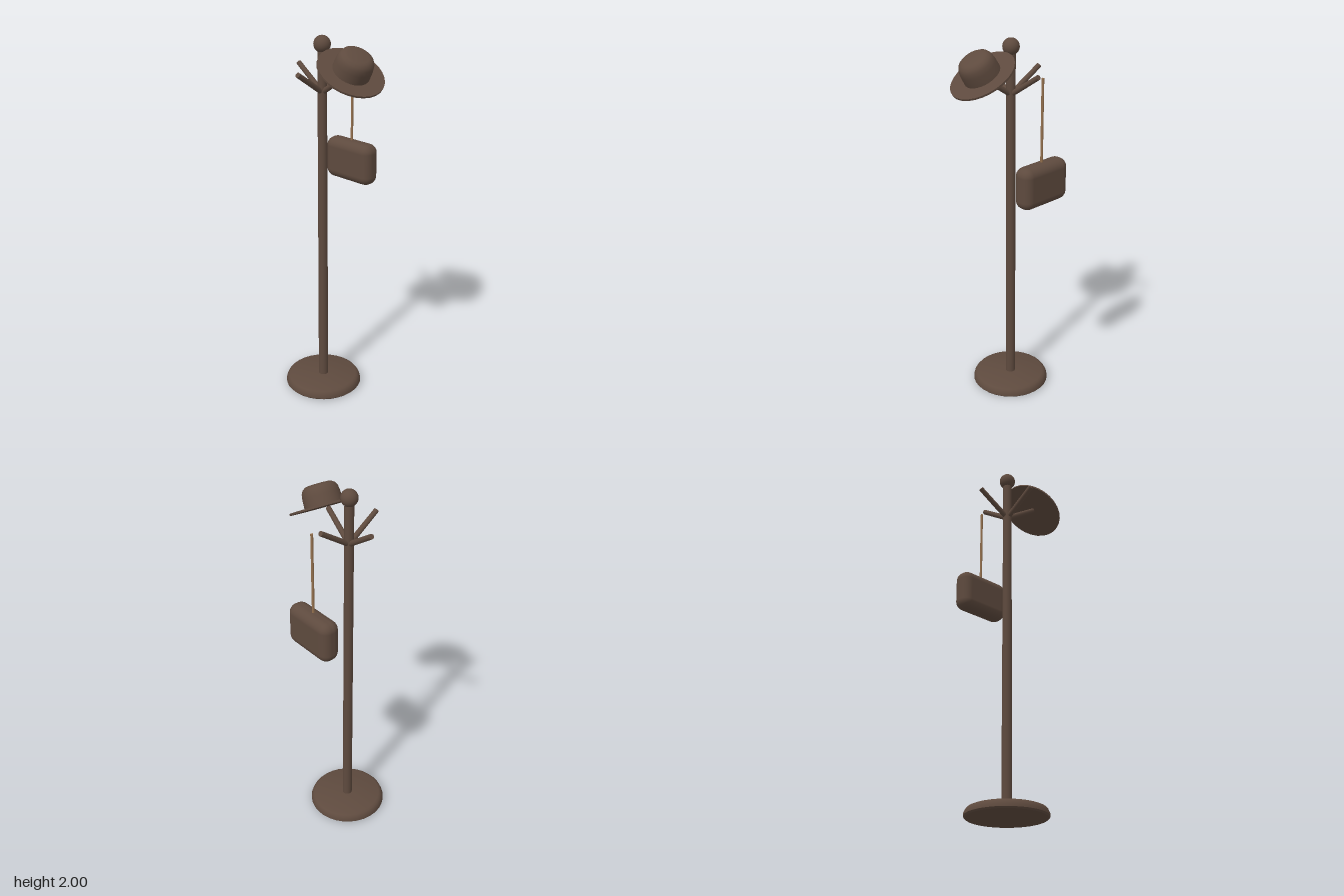
import * as THREE from 'three';
import { RoundedBoxGeometry } from 'three/addons/geometries/RoundedBoxGeometry.js';
import { toCreasedNormals } from 'three/addons/utils/BufferGeometryUtils.js';

const POLE_X = -0.045, POLE_Z = -0.027;
const UP = new THREE.Vector3(0, 1, 0);

export function createModel() {
  const root = new THREE.Group();
  root.name = 'coatStand';
  const brown = new THREE.MeshStandardMaterial({ color: 0x5e4a3e });
  brown.name = 'darkBrown';
  const tan = new THREE.MeshStandardMaterial({ color: 0x96724f });
  tan.name = 'tanStrap';

  function add(parent, name, geometry, material, x = 0, y = 0, z = 0) {
    const mesh = new THREE.Mesh(geometry, material);
    mesh.name = name;
    mesh.position.set(x, y, z);
    parent.add(mesh);
    return mesh;
  }
  // profile points run from the bottom centre to the top centre
  const lathe = (points, sides) => toCreasedNormals(
    new THREE.LatheGeometry(points.map(([r, y]) => new THREE.Vector2(r, y)), sides), 0.7);

  // stand: base, pole and finial
  const stand = new THREE.Group();
  stand.name = 'stand';
  stand.position.set(POLE_X, 0, POLE_Z);
  root.add(stand);
  add(stand, 'base', lathe([[0, 0], [0.205, 0], [0.213, 0.008], [0.212, 0.02],
    [0.206, 0.035], [0.198, 0.045], [0.186, 0.05], [0, 0.05]], 32), brown);
  add(stand, 'pole', new THREE.CylinderGeometry(0.024, 0.027, 1.91, 20), brown, 0, 0.985, 0);
  add(stand, 'finial', new THREE.SphereGeometry(0.044, 24, 16), brown, 0, 1.956, 0);

  // four sloping hooks
  for (const [x, z] of [[0.145, -0.112], [-0.145, 0.112], [-0.09, -0.161], [0.09, 0.161]]) {
    const start = new THREE.Vector3(0, 1.71, 0);
    const end = new THREE.Vector3(x, 1.832, z);
    const along = end.clone().sub(start);
    const hook = add(stand, 'hook', new THREE.CylinderGeometry(0.0135, 0.0145, along.length(), 12), brown);
    hook.position.copy(start).add(end).multiplyScalar(0.5);
    hook.quaternion.setFromUnitVectors(UP, along.normalize());
  }

  // tilted hat
  const hat = new THREE.Group();
  hat.name = 'hat';
  hat.position.set(0.065, 1.843, 0.132);
  hat.quaternion.setFromUnitVectors(UP, new THREE.Vector3(0.226, 0.86, 0.457).normalize());
  root.add(hat);
  add(hat, 'brim', toCreasedNormals(new THREE.CylinderGeometry(0.176, 0.176, 0.01, 28), 0.7), brown);
  add(hat, 'crown', lathe([[0.098, 0], [0.096, 0.055], [0.092, 0.08], [0.083, 0.097],
    [0.068, 0.107], [0.055, 0.11], [0, 0.11]], 28), brown);

  // hanging bag with its strap
  const bag = new THREE.Group();
  bag.name = 'hangingBag';
  bag.position.set(0.142, 0, -0.153);
  bag.rotation.y = Math.atan2(0.57, 0.82);
  root.add(bag);
  add(bag, 'bagBody', new RoundedBoxGeometry(0.11, 0.226, 0.31, 4, 0.048), brown, 0, 1.292, 0);
  add(bag, 'strap', new THREE.CylinderGeometry(0.007, 0.007, 0.46, 6), tan, 0, 1.61, 0);

  return root;
}
